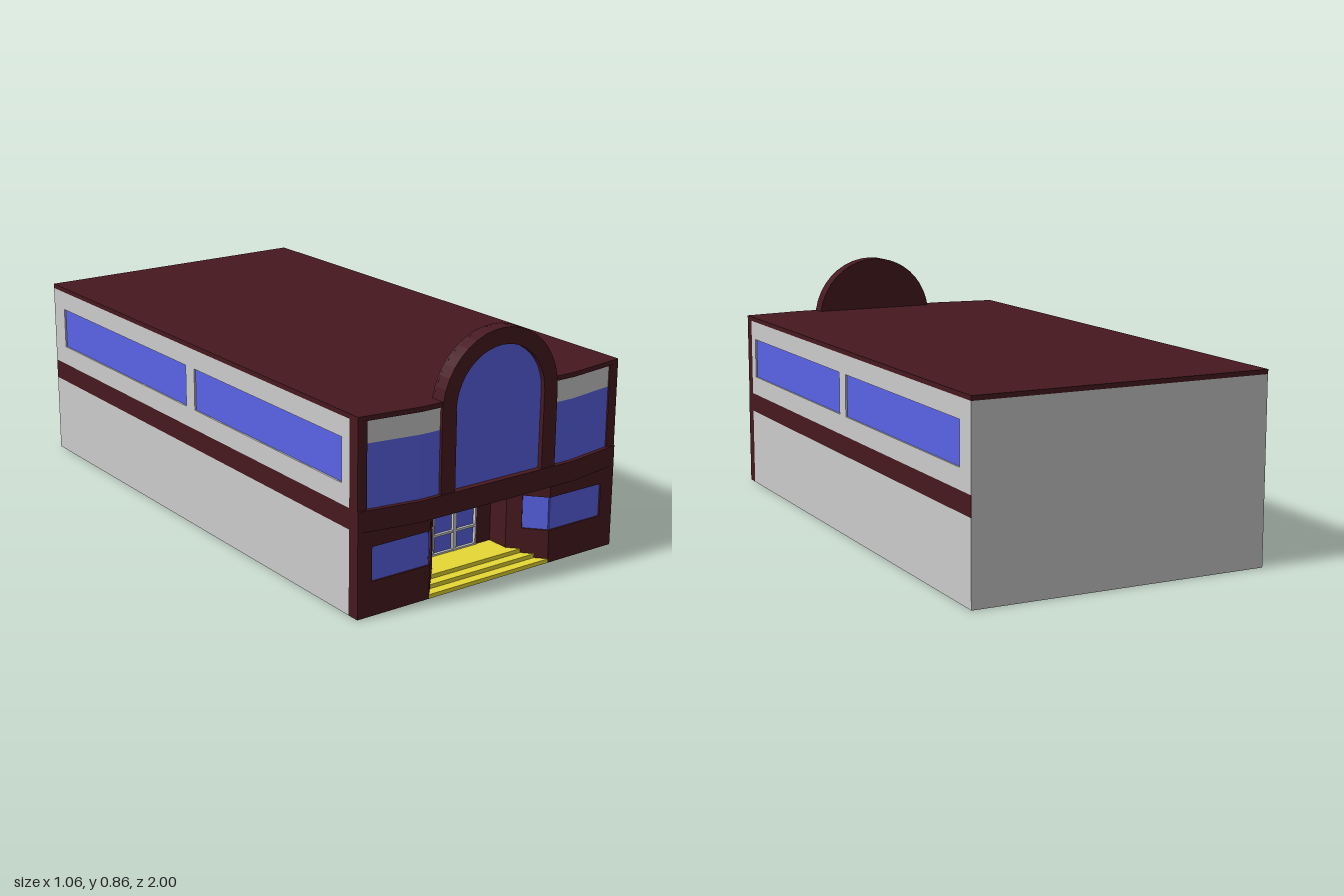
import * as THREE from 'three';
import { mergeGeometries } from 'three/addons/utils/BufferGeometryUtils.js';

const mat = (color) => new THREE.MeshStandardMaterial({ color, side: THREE.DoubleSide });
const T = 0.012; // wall thickness

export function createModel() {
  const root = new THREE.Group();
  const grey = mat(0xcccccc), maroon = mat(0x46191f), blue = mat(0x5a63e8), yellow = mat(0xe6d834);

  const add = (name, geometry, material) => {
    const mesh = new THREE.Mesh(geometry, material);
    mesh.name = name;
    root.add(mesh);
    return mesh;
  };

  const box = (x0, x1, y0, y1, z0, z1) =>
    new THREE.BoxGeometry(Math.abs(x1 - x0), y1 - y0, z1 - z0)
      .translate((x0 + x1) / 2, (y0 + y1) / 2, (z0 + z1) / 2);

  // Horizontal slab from a plan outline of [x, z] points
  const slab = (name, plan, y0, y1, material) => {
    const shape = new THREE.Shape(plan.map(([x, z]) => new THREE.Vector2(x, -z)));
    const g = new THREE.ExtrudeGeometry(shape, { depth: y1 - y0, bevelEnabled: false });
    return add(name, g.rotateX(-Math.PI / 2).translate(0, y0, 0), material);
  };

  // Closes a half plan (x > 0) with its mirror image
  const mirrored = (half) => [...half, ...half.map(([x, z]) => [-x, z]).reverse()];

  // Upright wall from plan point a to b (left to right seen from outside);
  // s = -1 mirrors it. Windows are [u0, u1] spans along the wall at height wy.
  const wall = (name, s, a, b, y0, y1, material, wy = null, spans = []) => {
    if (s < 0) [a, b] = [[-b[0], b[1]], [-a[0], a[1]]];
    const dx = b[0] - a[0], dz = b[1] - a[1], L = Math.hypot(dx, dz);
    const holes = s < 0 ? spans.map(([u, v]) => [L - v, L - u]).reverse() : spans;
    const place = (g) => g.rotateY(Math.atan2(-dz, dx)).translate(a[0], 0, a[1]);
    const parts = [];
    if (wy) {
      parts.push(box(0, L, y0, wy[0], -T, 0), box(0, L, wy[1], y1, -T, 0));
      let u = 0;
      for (const [u0, u1] of [...holes, [L, L]]) {
        if (u0 - u > 1e-4) parts.push(box(u, u0, wy[0], wy[1], -T, 0));
        u = u1;
      }
      for (const [u0, u1] of holes) {
        const pane = new THREE.PlaneGeometry(u1 - u0, wy[1] - wy[0])
          .translate((u0 + u1) / 2, (wy[0] + wy[1]) / 2, -T / 2);
        add(name + 'Glass', place(pane), blue);
      }
    } else parts.push(box(0, L, y0, y1, -T, 0));
    add(name, place(mergeGeometries(parts)), material);
  };

  for (const s of [1, -1]) {
    // Long side walls, with a band between the storeys
    const front = [0.53, 0.92], back = [0.53, -0.999];
    wall('lowerSideWall', s, front, back, 0, 0.285, grey);
    wall('sideBand', s, front, back, 0.285, 0.355, maroon);
    wall('upperSideWall', s, front, back, 0.355, 0.64, grey, [0.425, 0.572], [[0.04, 0.895], [0.95, 1.84]]);
    add('cornerPillar', box(s * 0.495, s * 0.53, 0, 0.64, 0.92, 0.962), maroon);

    // Ground floor front with a window that wraps into the entrance recess
    const diag = Math.hypot(0.095, 0.105);
    wall('lowerFrontWall', s, [0.25, 0.965], [0.53, 0.965], 0, 0.285, maroon, [0.115, 0.23], [[0, 0.225]]);
    wall('angledEntranceWall', s, [0.155, 0.86], [0.25, 0.965], 0, 0.285, maroon, [0.115, 0.23], [[0.052, diag]]);
    wall('entranceSideWall', s, [0.155, 0.78], [0.155, 0.86], 0, 0.285, maroon);

    // Upper front glazing below a grey panel
    const bow = [[0.225, 0.985], [0.31, 0.985], [0.505, 0.955]];
    for (let i = 0; i < 2; i++) {
      wall('upperFrontGlass', s, bow[i], bow[i + 1], 0.355, 0.565, blue);
      wall('upperFrontPanel', s, bow[i], bow[i + 1], 0.565, 0.64, grey);
    }
  }
  add('backWall', box(-0.529, 0.529, 0, 0.64, -1, -1 + T), grey);

  // Bowed storey band, which also roofs the entrance recess
  slab('frontBand', mirrored([[0.155, 0.775], [0.155, 0.92], [0.53, 0.92], [0.53, 0.965], [0.315, 1]]),
    0.285, 0.355, maroon);

  // Roof, notched behind the arch
  slab('roof', mirrored([[0.53, -1], [0.53, 0.962], [0.31, 0.992], [0.22, 0.992], [0.22, 0.945]]),
    0.64, 0.656, maroon);

  // Arched frame and its tall window
  const archShape = (r) => {
    const s = new THREE.Shape();
    s.moveTo(-r, 0.355);
    s.lineTo(r, 0.355);
    s.lineTo(r, 0.62);
    s.absarc(0, 0.62, r, 0, Math.PI, false);
    return s;
  };
  const ring = new THREE.Shape();
  ring.moveTo(0.235, 0.355);
  ring.lineTo(0.235, 0.62);
  ring.absarc(0, 0.62, 0.235, 0, Math.PI, false);
  ring.lineTo(-0.235, 0.355);
  ring.lineTo(-0.178, 0.355);
  ring.lineTo(-0.178, 0.62);
  ring.absarc(0, 0.62, 0.18, Math.PI, 0, true);
  ring.lineTo(0.178, 0.355);
  add('archFrame', new THREE.ExtrudeGeometry(ring, { depth: 0.053, bevelEnabled: false, curveSegments: 10 })
    .translate(0, 0, 0.942), maroon);
  add('archGlass', new THREE.ShapeGeometry(archShape(0.182), 10).translate(0, 0, 0.978), blue);

  // Solid back of the arch above the roof
  const cap = new THREE.Shape();
  const a0 = Math.asin(0.03 / 0.235);
  cap.absarc(0, 0.62, 0.235, a0, Math.PI - a0, false);
  add('archBack', new THREE.ExtrudeGeometry(cap, { depth: 0.01, bevelEnabled: false, curveSegments: 10 })
    .translate(0, 0, 0.94), maroon);

  // Entrance wall and double door
  wall('entranceWall', 1, [-0.155, 0.78], [0.155, 0.78], 0, 0.285, maroon, [0.042, 0.213], [[0.065, 0.245]]);
  add('doorFrame', mergeGeometries([
    box(-0.092, -0.086, 0.042, 0.213, 0.77, 0.785),
    box(0.086, 0.092, 0.042, 0.213, 0.77, 0.785),
    box(-0.007, 0.007, 0.042, 0.213, 0.77, 0.785),
    box(-0.092, 0.092, 0.207, 0.213, 0.77, 0.784),
    box(-0.092, 0.092, 0.042, 0.048, 0.77, 0.784),
    box(-0.092, 0.092, 0.107, 0.115, 0.77, 0.784),
  ]), grey);

  // Three steps fitted between the angled walls
  for (let i = 0; i < 3; i++) {
    const x = 0.25 - i * 0.031, z = 0.965 - i * 0.034;
    slab('step', mirrored([[0.155, 0.78], [0.155, 0.86], [x, z]]), i * 0.014, (i + 1) * 0.014, yellow);
  }
  return root;
}
